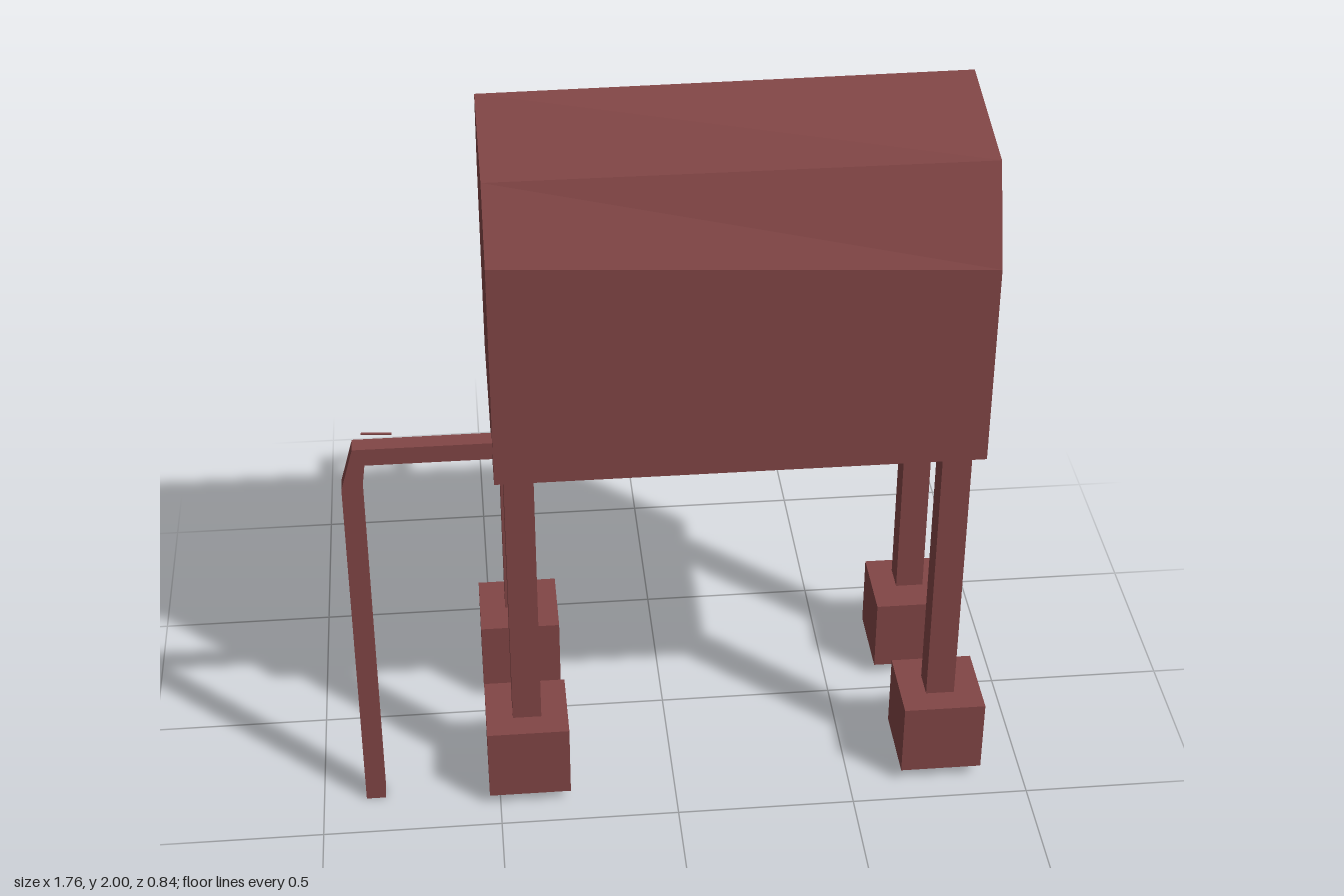
import * as THREE from 'three';

const paint = new THREE.MeshStandardMaterial({ color: 0x824646, side: THREE.DoubleSide });
paint.name = 'brownRed';

function add(parent, name, geometry, x = 0, y = 0, z = 0) {
  const mesh = new THREE.Mesh(geometry, paint);
  mesh.name = name;
  mesh.position.set(x, y, z);
  parent.add(mesh);
  return mesh;
}

// Faceted solid between two [z, y] rings, counterclockwise as seen from +x
function loft(xRight, ringRight, xLeft, ringLeft) {
  const R = ringRight.map(([z, y]) => new THREE.Vector3(xRight, y, z));
  const L = ringLeft.map(([z, y]) => new THREE.Vector3(xLeft, y, z));
  const pos = [];
  const tri = (a, b, c) => {
    const area = b.clone().sub(a).cross(c.clone().sub(a)).length();
    if (area > 1e-6) for (const p of [a, b, c]) pos.push(p.x, p.y, p.z);
  };
  const n = R.length;
  for (let i = 0; i < n; i++) {
    const j = (i + 1) % n;
    tri(L[i], L[j], R[j]);
    tri(L[i], R[j], R[i]);
    if (i > 0 && j > 0) {
      tri(R[0], R[i], R[j]);
      tri(L[0], L[j], L[i]);
    }
  }
  const g = new THREE.BufferGeometry();
  g.setAttribute('position', new THREE.Float32BufferAttribute(pos, 3));
  g.computeVertexNormals();
  return g;
}

function outline(points) {
  return new THREE.Shape(points.map(([x, y]) => new THREE.Vector2(x, y)));
}

export function createModel() {
  const model = new THREE.Group();
  model.name = 'mailbox';

  // Main box
  const boxRing = [[0.4, 1.09], [-0.3, 1.09], [-0.3, 1.67], [0.4, 1.67]];
  add(model, 'boxBody', loft(0.83, boxRing, -0.48, boxRing));

  // Lopsided lid: the ridge rises towards the left end
  add(model, 'lid', loft(
    0.83, [[0.4, 1.67], [-0.3, 1.67], [-0.2, 1.93], [-0.08, 2], [0.3, 1.93], [0.4, 1.67]],
    -0.48, [[0.4, 1.67], [-0.3, 1.67], [-0.2, 1.93], [-0.2, 1.93], [0.3, 1.93], [0.4, 1.74]]));

  // Legs on hollow feet that are open underneath
  const legGeometry = new THREE.BoxGeometry(0.08, 0.83, 0.08);
  const footGeometry = new THREE.BoxGeometry(0.23, 0.22, 0.23);
  const index = Array.from(footGeometry.index.array);
  index.splice(18, 6);
  footGeometry.clearGroups();
  footGeometry.setIndex(index);
  for (const [sx, legX, footX] of [['right', -0.415, -0.415], ['left', 0.76, 0.765]]) {
    for (const [sz, legZ, footZ] of [['Front', 0.32, 0.305], ['Back', -0.19, -0.18]]) {
      add(model, sx + sz + 'Leg', legGeometry, legX, 0.68, legZ);
      add(model, sx + sz + 'Foot', footGeometry, footX, 0.145, footZ);
    }
  }

  // Bent side pipe running down to the ground
  const pipe = outline([
    [-0.88, 0], [-0.825, 0], [-0.825, 1.07], [-0.815, 1.145],
    [-0.47, 1.145], [-0.47, 1.195], [-0.845, 1.195], [-0.88, 1.07],
  ]);
  add(model, 'sidePipe',
    new THREE.ExtrudeGeometry(pipe, { depth: 0.05, bevelEnabled: false }), 0, 0, 0.31);

  // Small sliver hovering over the bend
  const sliver = add(model, 'pipeSliver', new THREE.BoxGeometry(0.08, 0.003, 0.008), -0.78, 1.222, 0.328);
  sliver.rotation.y = -0.1;

  // Back handle: a rectangular frame, leaning outwards at the bottom
  const frame = outline([[0.04, 0.3], [0.305, 0.3], [0.305, 0.405], [0.04, 0.405]]);
  frame.holes.push(outline([[0.055, 0.32], [0.055, 0.392], [0.29, 0.392], [0.29, 0.32]]));
  const handle = new THREE.ExtrudeGeometry(frame, { depth: 0.065, bevelEnabled: false });
  handle.rotateX(-Math.PI / 2);
  const p = handle.attributes.position;
  for (let i = 0; i < p.count; i++) p.setZ(i, p.getZ(i) - 0.01 * (1 - p.getY(i) / 0.065));
  handle.computeVertexNormals();
  add(model, 'backHandle', handle, 0, 1.685, 0);

  return model;
}
